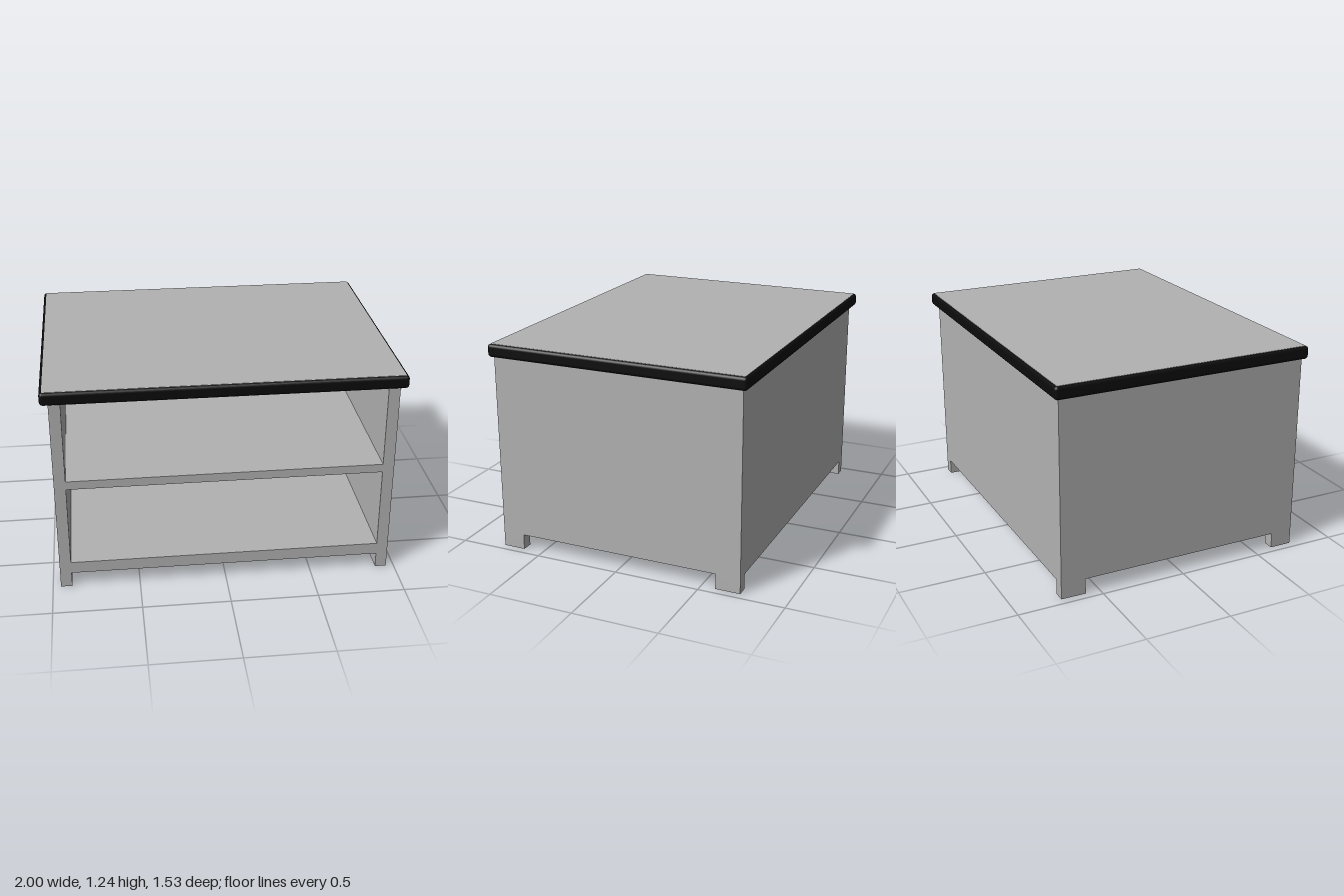
import * as THREE from 'three';
import { RoundedBoxGeometry } from 'three/addons/geometries/RoundedBoxGeometry.js';

export function createModel() {
  const grey = new THREE.MeshStandardMaterial({ color: 0xb2b2b2 });
  grey.name = 'grey panel';
  const black = new THREE.MeshStandardMaterial({ color: 0x0c0c0c });
  black.name = 'black edging';

  const model = new THREE.Group();
  model.name = 'cabinet';

  const add = (name, geometry, material) => {
    const mesh = new THREE.Mesh(geometry, material);
    mesh.name = name;
    model.add(mesh);
    return mesh;
  };
  // Box given by its limits on each axis
  const box = (name, [x0, x1], [y0, y1], [z0, z1]) =>
    add(name, new THREE.BoxGeometry(x1 - x0, y1 - y0, z1 - z0), grey)
      .position.set((x0 + x1) / 2, (y0 + y1) / 2, (z0 + z1) / 2);

  const inner = 0.89, outer = 0.955;
  const front = 0.75, back = -0.73;
  const under = 0.09, bodyTop = 1.16, backThickness = 0.04;

  // Side panels, notched at the bottom to leave a foot at each end
  const outline = [
    [back, 0], [-0.585, 0], [-0.585, under], [0.62, under],
    [0.62, 0], [front, 0], [front, bodyTop], [back, bodyTop],
  ].map(([z, y]) => new THREE.Vector2(z, y));
  const sideGeometry = new THREE.ExtrudeGeometry(new THREE.Shape(outline), {
    depth: outer - inner, bevelEnabled: false,
  }).rotateY(-Math.PI / 2);
  add('leftSide', sideGeometry, grey).position.x = outer;
  add('rightSide', sideGeometry, grey).position.x = -inner;

  // Back panel and two shelves between the sides
  box('backPanel', [-inner, inner], [under, bodyTop], [back, back + backThickness]);
  box('bottomShelf', [-inner, inner], [under, 0.16], [back + backThickness, front]);
  box('middleShelf', [-inner, inner], [0.64, 0.69], [back + backThickness, front]);

  // Worktop: grey board inside a rounded black edging
  add('topEdging', new RoundedBoxGeometry(2, 0.073, 1.53, 3, 0.018), black).position.y = 1.198;
  box('topBoard', [-0.985, 0.985], [1.16, 1.236], [-0.75, 0.75]);

  return model;
}
